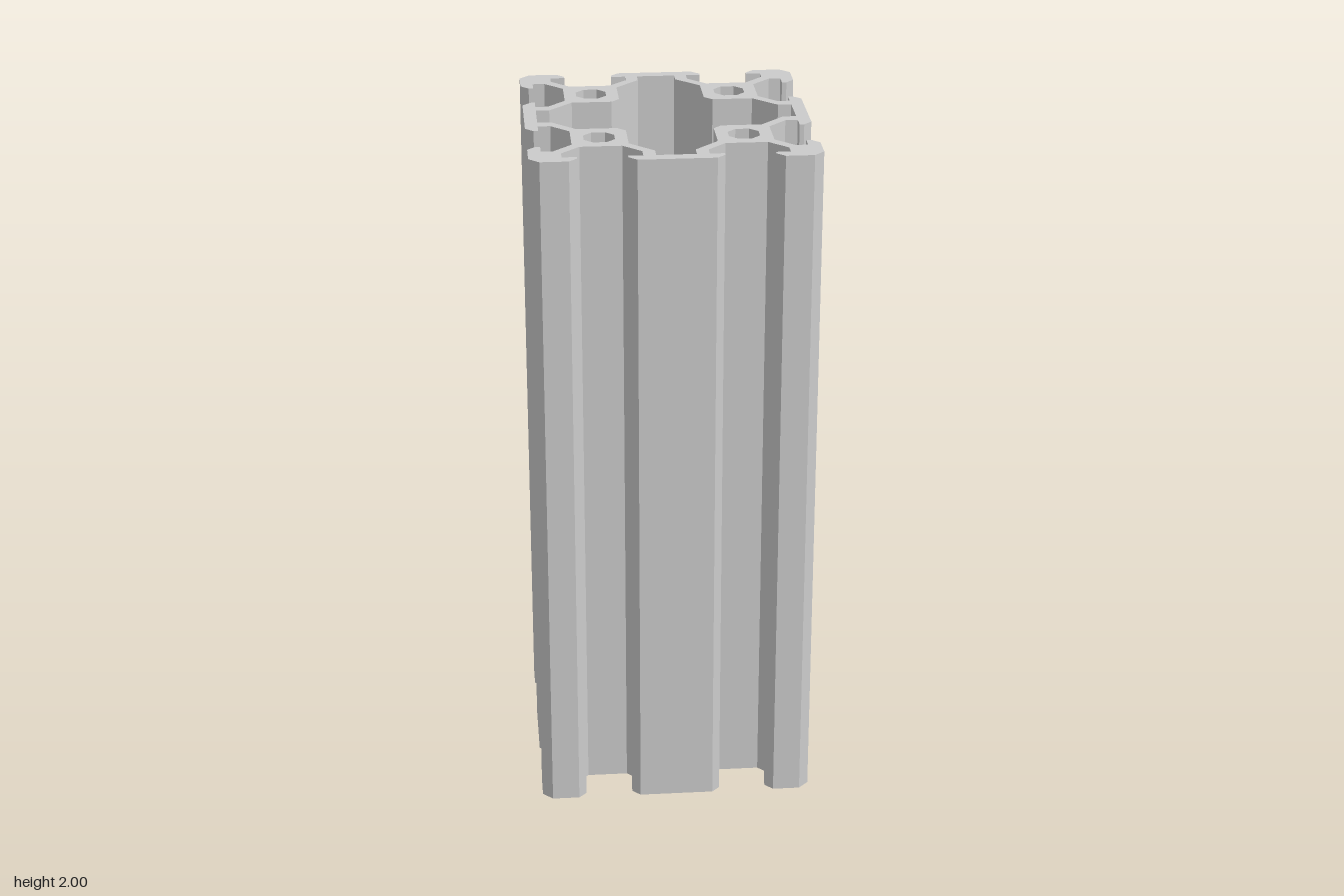
import * as THREE from 'three';

const LENGTH = 2;

// Half of one quadrant, from the middle of a face to the diagonal
const OUTER = [[0.108, 0.4], [0.131, 0.377], [0.131, 0.364], [0.09, 0.364], [0.09, 0.329],
  [0.141, 0.278], [0.258, 0.278], [0.31, 0.33], [0.31, 0.364], [0.269, 0.364],
  [0.269, 0.377], [0.292, 0.4], [0.371, 0.4]];
const CAVITY = [[0.055, 0.364], [0.055, 0.326], [0.122, 0.259], [0.122, 0.145]];

// Mirror the half across the diagonal, then turn it four times (clockwise)
function ring(half) {
  const quadrant = [...half, ...half.map(([x, y]) => [y, x]).reverse()];
  const points = [];
  let turned = quadrant;
  for (let i = 0; i < 4; i++) {
    points.push(...turned.map(([x, y]) => new THREE.Vector2(x, y)));
    turned = turned.map(([x, y]) => [y, -x]);
  }
  return points;
}

// Octagonal bore through a node (counter-clockwise)
function bore(cx, cy) {
  const r = 0.043, c = 0.019;
  return new THREE.Path([[r, c], [c, r], [-c, r], [-r, c], [-r, -c], [-c, -r], [c, -r], [r, -c]]
    .map(([x, y]) => new THREE.Vector2(cx + x, cy + y)));
}

export function createModel() {
  const group = new THREE.Group();
  group.name = 'slottedProfile';

  // Cross-section: slotted outline, central cavity and four bores.
  // Holes run opposite to the outline so their walls face inward.
  const section = new THREE.Shape(ring(OUTER));
  section.holes.push(new THREE.Path(ring(CAVITY).reverse()));
  for (const x of [-0.2, 0.2]) for (const y of [-0.2, 0.2]) section.holes.push(bore(x, y));

  // Extruded bar, stood upright
  const geometry = new THREE.ExtrudeGeometry(section, { depth: LENGTH, bevelEnabled: false });
  geometry.rotateX(-Math.PI / 2);
  const bar = new THREE.Mesh(geometry,
    new THREE.MeshStandardMaterial({ color: 0xcccccc, flatShading: true }));
  bar.name = 'extrudedBar';
  group.add(bar);
  return group;
}
